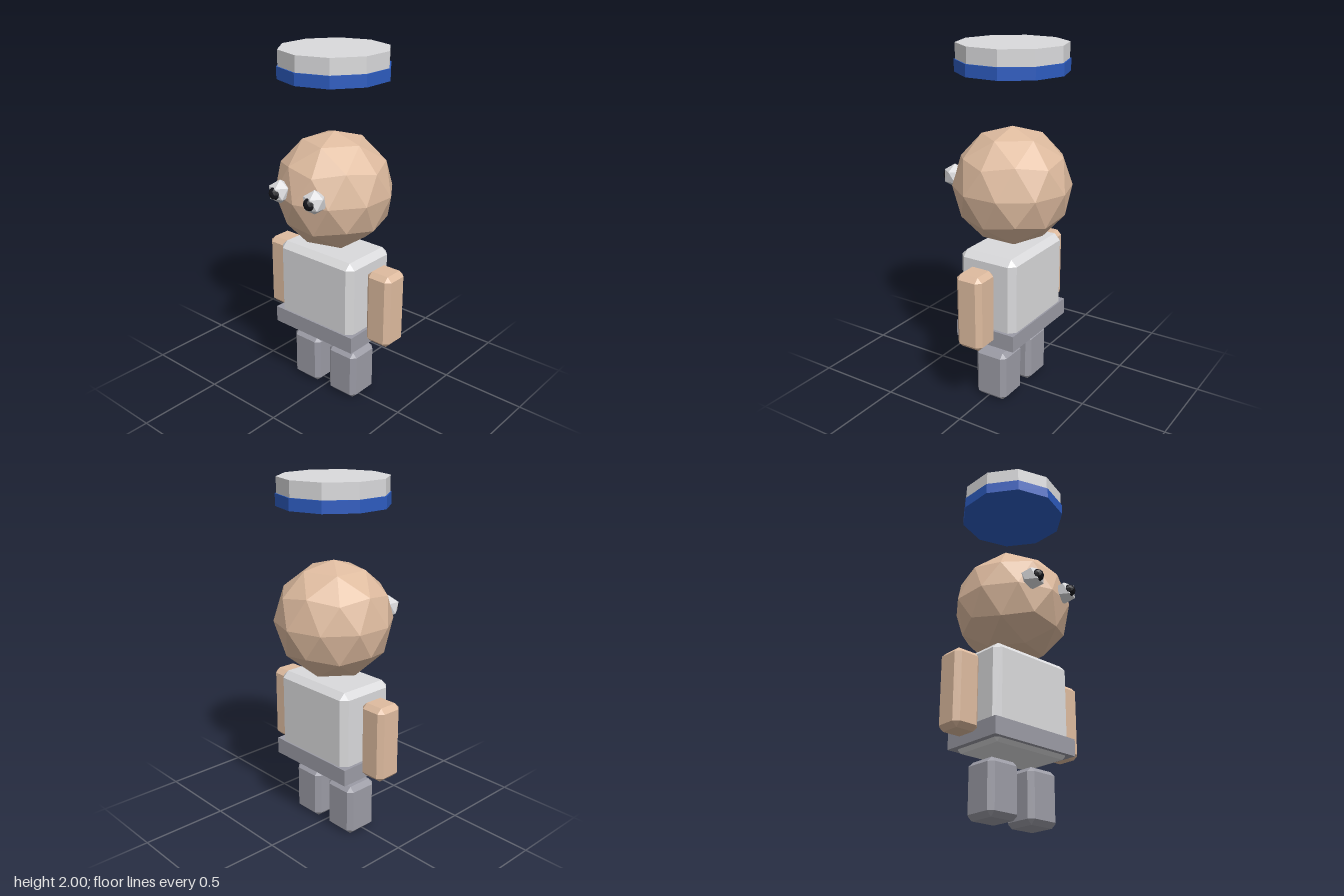
import * as THREE from 'three';
import { ConvexGeometry } from 'three/addons/geometries/ConvexGeometry.js';

const mat = (name, color) => {
  const m = new THREE.MeshStandardMaterial({ color, flatShading: true });
  m.name = name;
  return m;
};

// Box with flat 45 degree chamfers on every edge
function chamferBox(w, h, d, c) {
  const points = [];
  for (const sx of [-1, 1]) for (const sy of [-1, 1]) for (const sz of [-1, 1]) {
    const x = w / 2, y = h / 2, z = d / 2;
    points.push(
      new THREE.Vector3(sx * x, sy * (y - c), sz * (z - c)),
      new THREE.Vector3(sx * (x - c), sy * y, sz * (z - c)),
      new THREE.Vector3(sx * (x - c), sy * (y - c), sz * z)
    );
  }
  return new ConvexGeometry(points);
}

// Faceted ball with a corner at the top and an upper-ring corner towards +x
function facetBall(radius, detail) {
  return new THREE.IcosahedronGeometry(radius, detail)
    .rotateZ(Math.atan2(2, 1 + Math.sqrt(5)))
    .rotateY(Math.PI - 0.015);
}

export function createModel() {
  const group = new THREE.Group();
  const skin = mat('skin', 0xdebb9f);
  const lightGrey = mat('light grey', 0xdadadc);
  const darkGrey = mat('dark grey', 0x9b9ba5);
  const blue = mat('blue', 0x2d5cc0);
  const black = mat('black', 0x16161c);

  const add = (name, geometry, material, x, y, z) => {
    const mesh = new THREE.Mesh(geometry, material);
    mesh.name = name;
    mesh.position.set(x, y, z);
    group.add(mesh);
  };

  // Floating hat: grey crown on a blue band
  const hatZ = -0.025;
  add('hatBand', new THREE.CylinderGeometry(0.305, 0.305, 0.065, 10), blue, 0, 1.8825, hatZ);
  add('hatCrown', new THREE.CylinderGeometry(0.298, 0.298, 0.09, 10), lightGrey, 0, 1.955, hatZ);

  // Head
  add('head', facetBall(0.33, 1), skin, 0, 1.23, -0.025);

  // Body and belt
  add('torso', chamferBox(0.535, 0.54, 0.355, 0.035), lightGrey, 0, 0.63, -0.023);
  add('belt', new THREE.BoxGeometry(0.57, 0.095, 0.375), darkGrey, 0, 0.4275, -0.023);

  // Paired parts
  for (const [side, s] of [['left', 1], ['right', -1]]) {
    add(side + 'Eye', facetBall(0.067, 0), lightGrey, s * 0.123, 1.268, 0.272);
    add(side + 'Pupil', facetBall(0.036, 1), black, s * 0.123, 1.268, 0.309);
    add(side + 'Arm', chamferBox(0.16, 0.43, 0.16, 0.027), skin, s * 0.367, 0.63, -0.025);
    add(side + 'Leg', chamferBox(0.2, 0.3, 0.2, 0.027), darkGrey, s * 0.136, 0.152, -0.02);
  }
  return group;
}
